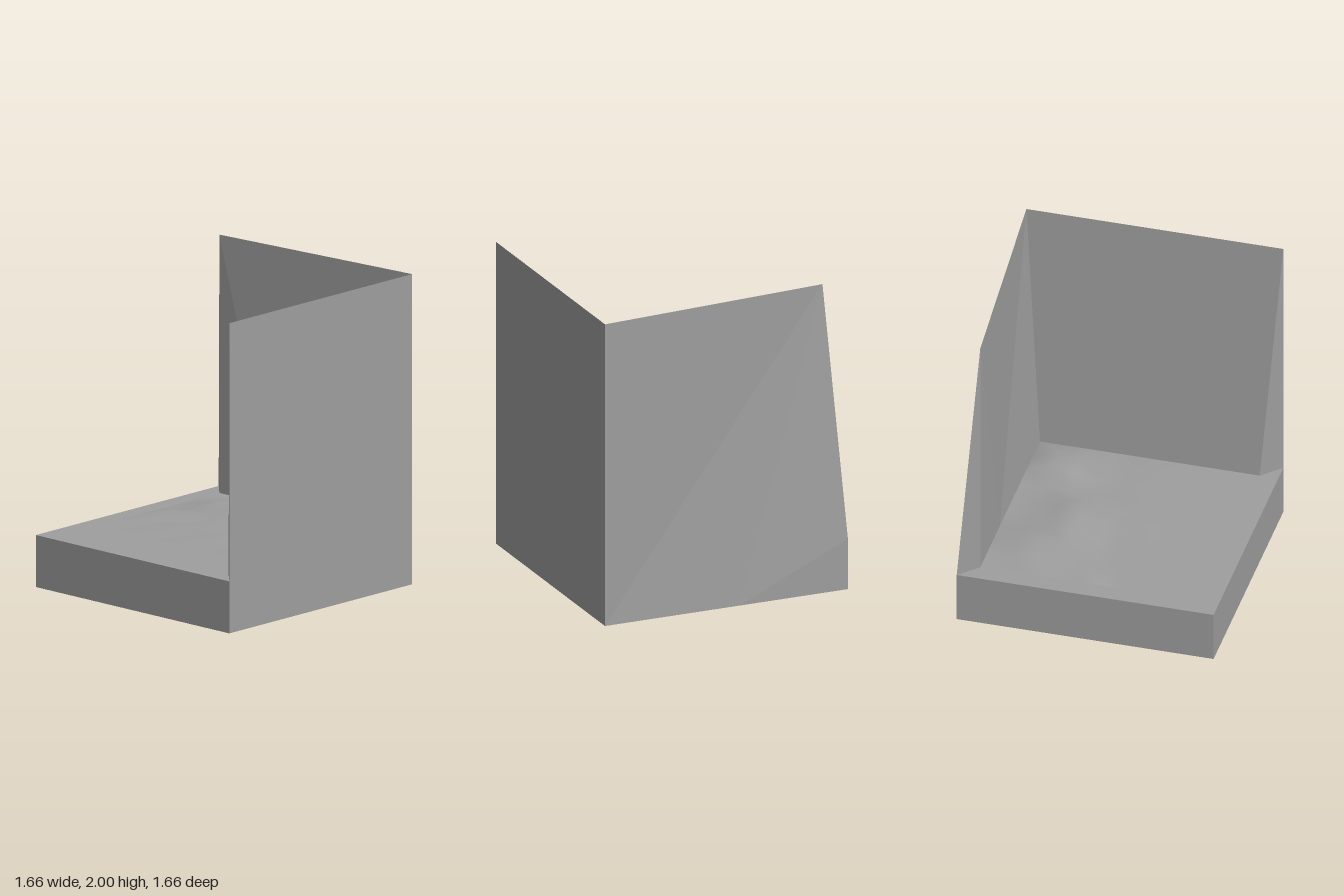
import * as THREE from 'three';

const OUT = 0.83, IN = 0.71, FLOOR = 0.335, TOP = 2;
const CELLS = 9;

// Named corners, [x, y, z]; "Low" = ground level, "Mid" = floor level, "top" = wall top
const P = {
  backLeftLow: [-OUT, 0, -OUT], backRightLow: [OUT, 0, -OUT],
  frontLeftLow: [-OUT, 0, OUT], frontRightLow: [OUT, 0, OUT],
  backLeftMid: [-OUT, FLOOR, -OUT], frontLeftMid: [-OUT, FLOOR, OUT], frontRightMid: [OUT, FLOOR, OUT],
  inBackLeft: [-IN, FLOOR, -IN], inBackRight: [IN, FLOOR, -IN],
  inFrontLeft: [-IN, FLOOR, IN], inFrontRight: [IN, FLOOR, IN],
  topLeft: [-IN, TOP, -IN], topCorner: [OUT, TOP, -OUT], topFront: [OUT, TOP, OUT],
  outerSplit: [-0.09, 0, -OUT], innerSplit: [-0.24, FLOOR, -IN],
};

const material = new THREE.MeshStandardMaterial({ color: 0x9e9e9e });

// Flat-faced mesh from polygons given as counter-clockwise corner names
function faceted(name, polygons) {
  const positions = [];
  for (const polygon of polygons) {
    const c = polygon.split(' ').map((key) => P[key]);
    for (let k = 1; k < c.length - 1; k++) positions.push(...c[0], ...c[k], ...c[k + 1]);
  }
  const geometry = new THREE.BufferGeometry();
  geometry.setAttribute('position', new THREE.Float32BufferAttribute(positions, 3));
  geometry.computeVertexNormals();
  const mesh = new THREE.Mesh(geometry, material);
  mesh.name = name;
  return mesh;
}

// Softly uneven ground: bumps as [column, row, height] on the floor grid
function makeGround() {
  const bumps = [
    [1, 2, 0.03], [2, 1, 0.045], [2, 2, 0.06], [2, 3, 0.03], [3, 2, 0.04], [4, 2, 0.045], [5, 2, 0.03],
    [3, 3, 0.06], [4, 3, 0.064], [5, 3, 0.06], [7, 1, 0.064], [8, 1, 0.064], [7, 2, 0.03], [8, 2, 0.04],
    [1, 4, 0.04], [3, 5, 0.02], [5, 5, 0.025], [6, 4, 0.015], [8, 5, 0.02],
  ];
  const geometry = new THREE.PlaneGeometry(2 * IN, 2 * IN, CELLS, CELLS).rotateX(-Math.PI / 2);
  const pos = geometry.attributes.position;
  for (const [col, row, height] of bumps) pos.setY(row * (CELLS + 1) + col, height);
  geometry.computeVertexNormals();
  const mesh = new THREE.Mesh(geometry, material);
  mesh.name = 'unevenGround';
  mesh.position.y = FLOOR;
  return mesh;
}

export function createModel() {
  const model = new THREE.Group();
  model.name = 'cornerRoom';

  // Thick slab with a flat rim on its two open sides
  model.add(faceted('baseSlab', [
    'backLeftLow frontLeftLow frontLeftMid backLeftMid',
    'frontLeftLow frontRightLow frontRightMid frontLeftMid',
    'backLeftLow backRightLow frontRightLow frontLeftLow',
    'backLeftMid frontLeftMid inFrontLeft inBackLeft',
    'frontLeftMid frontRightMid inFrontRight inFrontLeft',
  ]));

  // Back wall, its free end leaning inward
  model.add(faceted('backWall', [
    'backRightLow topLeft topCorner',
    'backRightLow outerSplit topLeft',
    'outerSplit backLeftMid topLeft',
    'outerSplit backLeftLow backLeftMid',
    'inBackLeft innerSplit topLeft',
    'innerSplit topCorner topLeft',
    'innerSplit inBackRight topCorner',
    'backLeftMid inBackLeft topLeft',
  ]));

  // Side wall tapering to a knife edge at the top
  model.add(faceted('sideWall', [
    'frontRightLow backRightLow topCorner topFront',
    'inBackRight inFrontRight topFront topCorner',
    'inFrontRight frontRightMid topFront',
  ]));

  model.add(makeGround());
  return model;
}
